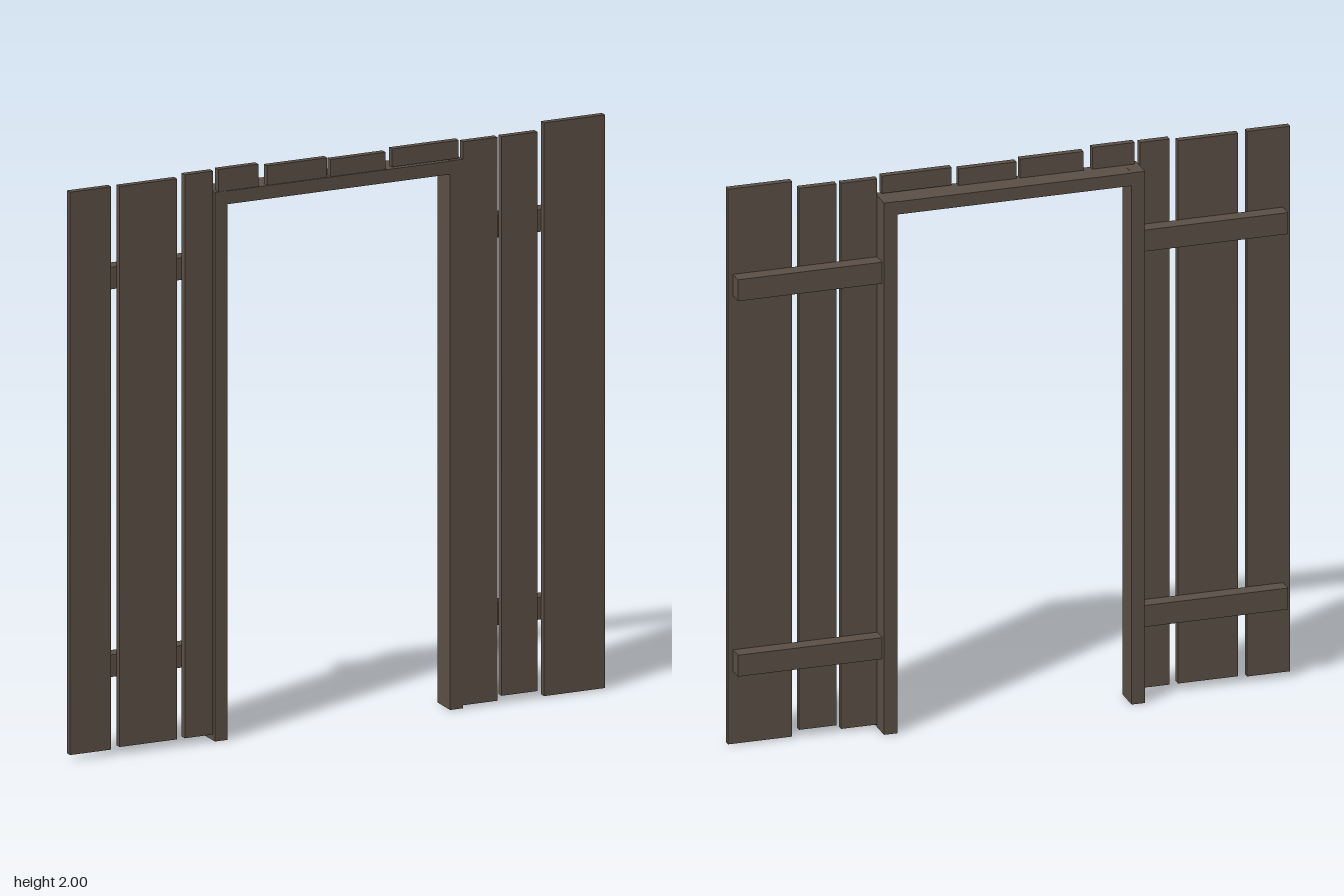
import * as THREE from 'three';

export function createModel() {
  const model = new THREE.Group();
  model.name = 'plankDoorway';
  const wood = new THREE.MeshStandardMaterial({ color: 0x5c5046 });
  wood.name = 'dark weathered wood';

  // Box given by its extents along each axis
  function board(name, [x0, x1], [y0, y1], [z0, z1]) {
    const mesh = new THREE.Mesh(new THREE.BoxGeometry(x1 - x0, y1 - y0, z1 - z0), wood);
    mesh.name = name;
    mesh.position.set((x0 + x1) / 2, (y0 + y1) / 2, (z0 + z1) / 2);
    model.add(mesh);
  }

  const frameZ = [-0.049, 0.048];
  const plankZ = [0.023, 0.047];
  const railZ = [-0.029, 0.023];

  // Door frame
  board('rightJamb', [-0.455, -0.408], [0, 1.912], frameZ);
  board('leftJamb', [0.415, 0.463], [0, 1.912], frameZ);
  board('lintel', [-0.408, 0.415], [1.865, 1.911], frameZ);

  // Uneven upright planks on both sides: x0, x1, bottom, top
  [
    [-0.99, -0.838, 0.02, 1.98],
    [-0.807, -0.595, 0.025, 1.977],
    [-0.566, -0.461, 0.025, 1.987],
    [0.463, 0.59, 0.01, 1.972],
    [0.606, 0.738, 0.025, 1.972],
    [0.763, 0.988, 0.004, 2.0],
  ].forEach(([x0, x1, y0, y1], i) => board(`sidePlank${i + 1}`, [x0, x1], [y0, y1], plankZ));

  // Short plank ends above the lintel
  [
    [-0.442, -0.294, 1.912, 1.99],
    [-0.262, -0.04, 1.912, 1.98],
    [-0.027, 0.177, 1.912, 1.972],
    [0.201, 0.447, 1.917, 1.98],
  ].forEach(([x0, x1, y0, y1], i) => board(`topPlank${i + 1}`, [x0, x1], [y0, y1], plankZ));

  // Rails behind the planks
  for (const [level, y] of [['lower', [0.265, 0.342]], ['upper', [1.615, 1.692]]]) {
    board(`${level}RightRail`, [-0.965, -0.455], y, railZ);
    board(`${level}LeftRail`, [0.463, 0.97], y, railZ);
  }

  return model;
}
